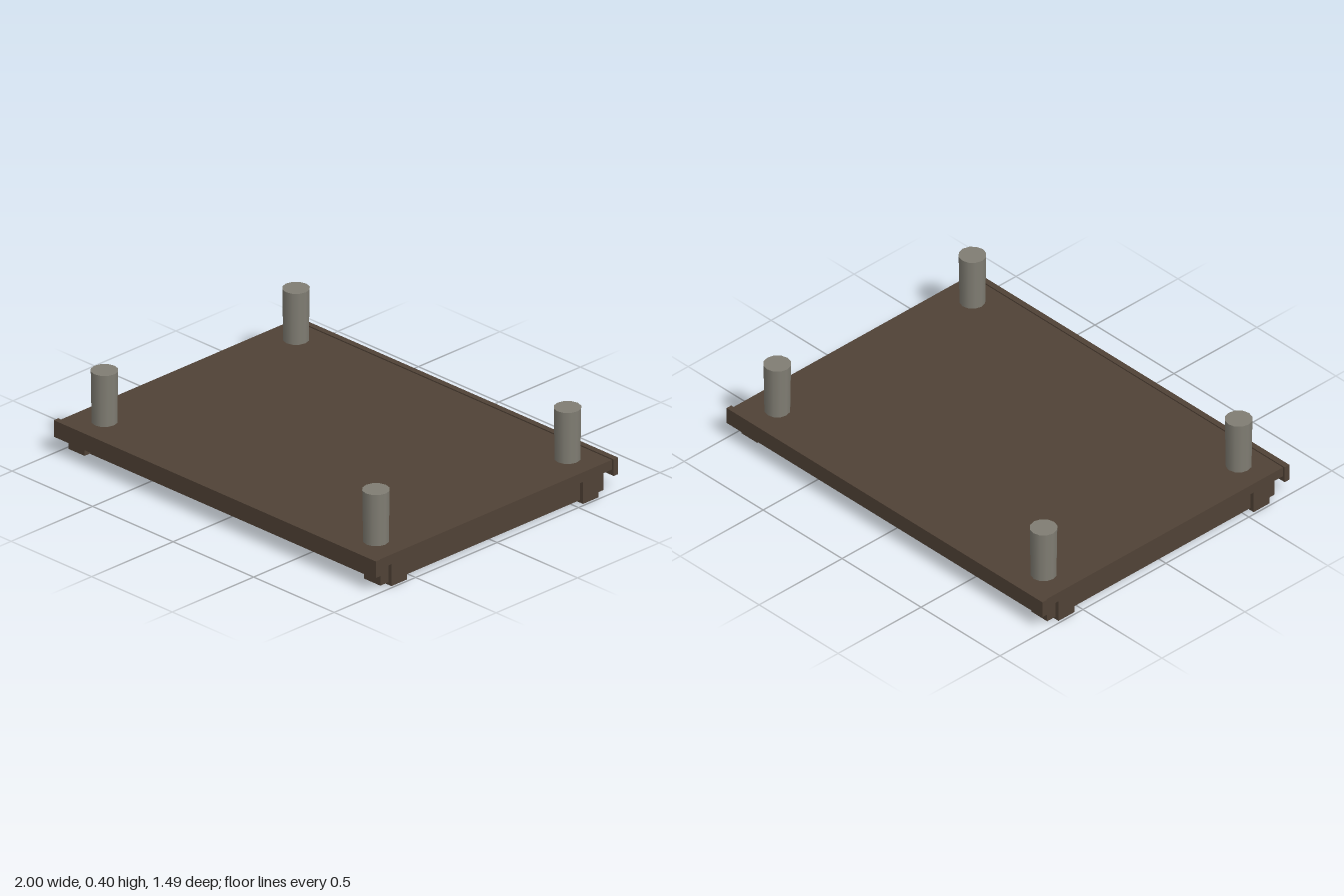
import * as THREE from 'three';

export function createModel() {
  const model = new THREE.Group();
  const wood = new THREE.MeshStandardMaterial({ color: 0x504236 });
  wood.name = 'dark wood';
  const stone = new THREE.MeshStandardMaterial({ color: 0x807d73 });
  stone.name = 'grey peg';

  // Box given by its lower and upper corners
  const box = (name, [x0, y0, z0], [x1, y1, z1]) => {
    const mesh = new THREE.Mesh(new THREE.BoxGeometry(x1 - x0, y1 - y0, z1 - z0), wood);
    mesh.position.set((x0 + x1) / 2, (y0 + y1) / 2, (z0 + z1) / 2);
    mesh.name = name;
    model.add(mesh);
  };

  // Flat deck
  box('deck', [-0.99, 0.108, -0.715], [0.99, 0.155, 0.715]);

  for (const s of [-1, 1]) {
    const end = s > 0 ? 'front' : 'back';
    const side = s > 0 ? 'left' : 'right';

    // Edge board, standing a little proud of the deck
    box(end + 'EdgeBoard', [-1, 0.08, s * 0.73 - 0.014], [1, 0.16, s * 0.73 + 0.014]);

    // Crossed rails under the deck, with ends sticking out at the corners
    box(end + 'Rail', [-0.988, 0, s * 0.588 - 0.048], [0.988, 0.108, s * 0.588 + 0.048]);
    box(side + 'Rail', [s * 0.918 - 0.05, 0.012, -0.685], [s * 0.918 + 0.05, 0.108, 0.685]);

    // Round corner pegs, slightly narrower at the foot
    for (const t of [-1, 1]) {
      const peg = new THREE.Mesh(new THREE.CylinderGeometry(0.062, 0.058, 0.252, 12), stone);
      peg.position.set(s * 0.843, 0.278, t * 0.588);
      peg.name = side + (t > 0 ? 'Front' : 'Back') + 'Peg';
      model.add(peg);
    }
  }
  return model;
}
